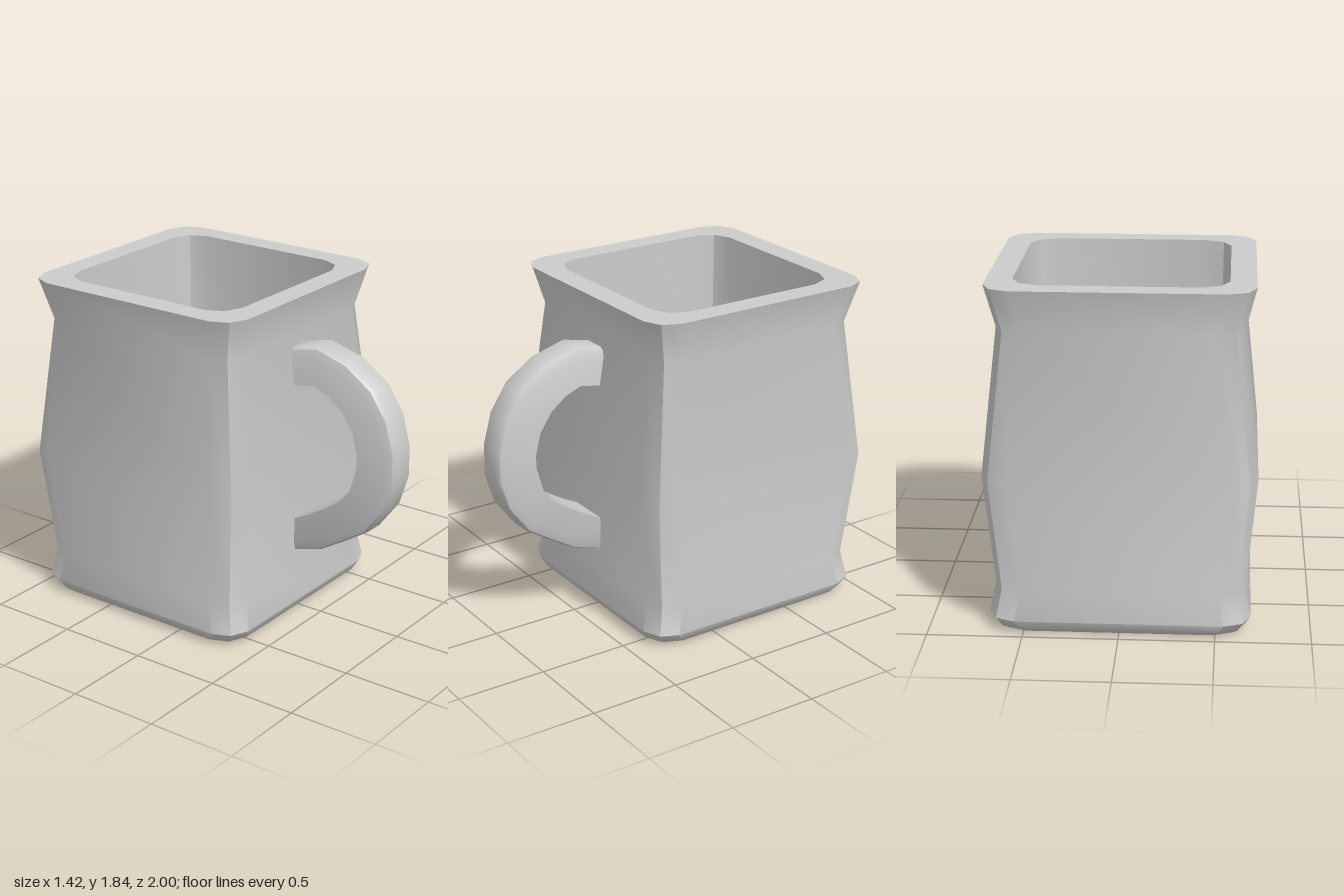
import * as THREE from 'three';
import { toCreasedNormals } from 'three/addons/utils/BufferGeometryUtils.js';

// Skin a run of closed rings, with a flat cap at each end
function loft(rings) {
  const n = rings[0].length, index = [];
  for (let i = 0; i < rings.length - 1; i++) {
    for (let j = 0; j < n; j++) {
      const k = (j + 1) % n;
      const a = i * n + j, b = i * n + k, c = b + n, d = a + n;
      index.push(a, d, c, a, c, b);
    }
  }
  const last = (rings.length - 1) * n;
  for (let j = 1; j < n - 1; j++) {
    index.push(0, j, j + 1, last, last + j + 1, last + j);
  }
  const geometry = new THREE.BufferGeometry();
  geometry.setAttribute('position', new THREE.Float32BufferAttribute(rings.flat(2), 3));
  geometry.setIndex(index);
  return toCreasedNormals(geometry, 0.7);
}

// Square ring of half width h at height y, each corner rounded by three points
function squareRing(h, y, r) {
  const k = r * 0.3, ring = [];
  for (let q = 0; q < 4; q++) {
    for (let [x, z] of [[h, h - r], [h - k, h - k], [h - r, h]]) {
      for (let t = 0; t < q; t++) [x, z] = [-z, x];
      ring.push([x, y, z]);
    }
  }
  return ring;
}

export function createModel() {
  const group = new THREE.Group();
  const material = new THREE.MeshStandardMaterial({ color: 0xcccccc });

  // Cup: up the outside, over the rim, down the inside to the floor
  const profile = [
    [0.63, 0], [0.655, 0.02], [0.685, 0.075], [0.655, 0.23], [0.71, 0.84], [0.63, 1.61], [0.685, 1.84],
    [0.55, 1.84], [0.53, 0.14],
  ];
  const cup = new THREE.Mesh(loft(profile.map(([h, y]) => squareRing(h, y, 0.14))), material);
  cup.name = 'cup';
  cup.position.z = -0.29;
  group.add(cup);

  // Handle: paired outer and inner points as [z, y], from top to bottom
  const outer = [
    [0.34, 1.55], [0.5, 1.585], [0.69, 1.53], [0.85, 1.42], [0.95, 1.27], [1, 1.09],
    [1, 0.92], [0.95, 0.76], [0.83, 0.6], [0.69, 0.51], [0.54, 0.42], [0.37, 0.37],
  ];
  const inner = [
    [0.39, 1.36], [0.51, 1.38], [0.6, 1.345], [0.69, 1.275], [0.76, 1.17], [0.79, 1.05],
    [0.79, 0.98], [0.75, 0.84], [0.68, 0.755], [0.58, 0.69], [0.48, 0.63], [0.38, 0.58],
  ];
  // Cross-section: [half width, share of the way from inner to outer]
  const side = [[0.12, 0], [0.1, 0.75], [0.085, 0.94], [0.06, 1]];
  const section = [...side.map(([w, t]) => [-w, t]), ...[...side].reverse()];
  const rings = outer.map(([oz, oy], i) => {
    const [iz, iy] = inner[i];
    return section.map(([x, t]) => [x, iy + (oy - iy) * t, iz + (oz - iz) * t]);
  });
  const handle = new THREE.Mesh(loft(rings), material);
  handle.name = 'handle';
  group.add(handle);

  return group;
}
